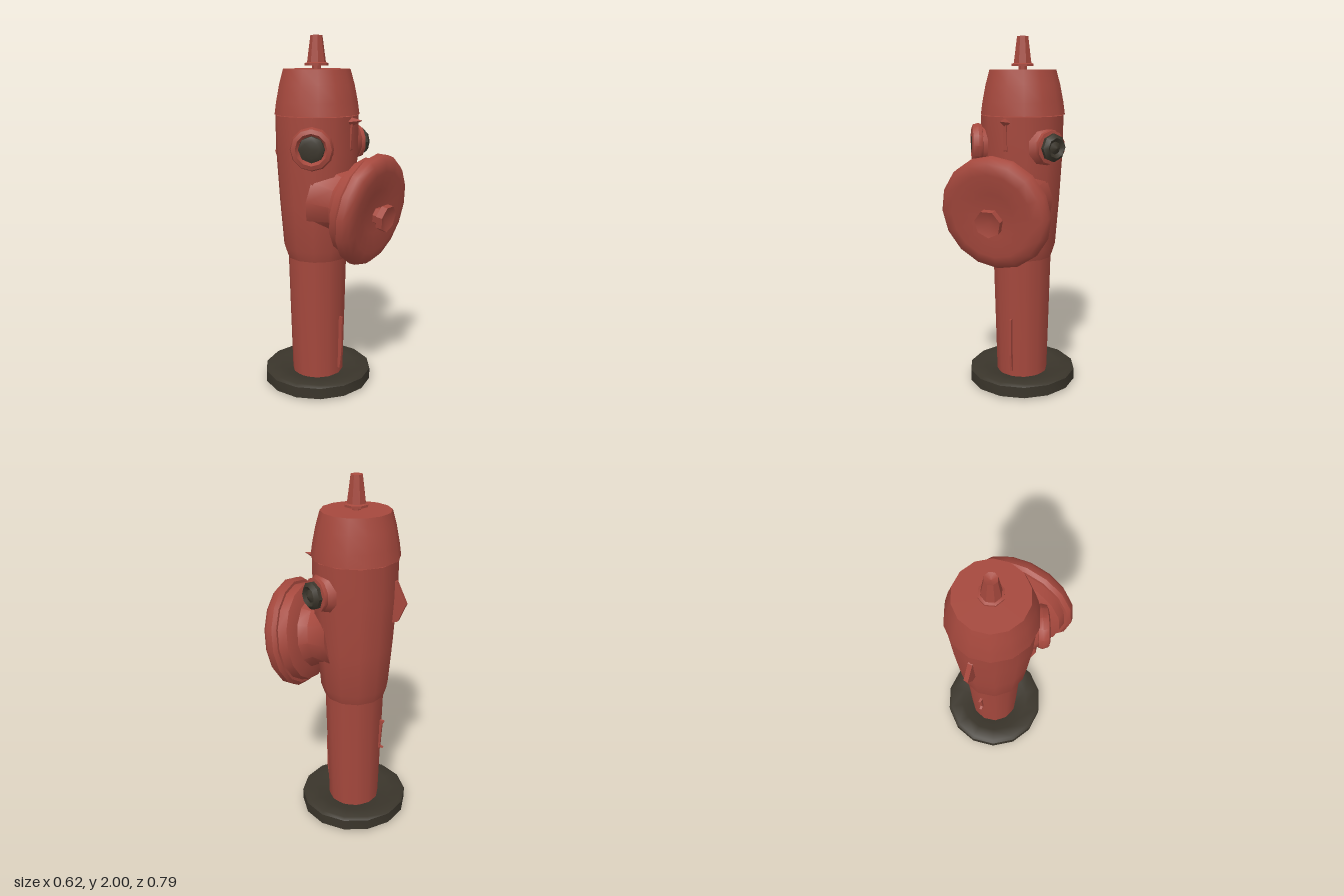
import * as THREE from 'three';
import { toCreasedNormals } from 'three/addons/utils/BufferGeometryUtils.js';

const red = new THREE.MeshStandardMaterial({ color: 0xa5483d });
red.name = 'faded red';
const dark = new THREE.MeshStandardMaterial({ color: 0x3a352b });
dark.name = 'dark iron';

// Turned part from [radius, height] pairs, listed from the bottom up.
function turned(name, points, sides, material) {
  const profile = points.map(([r, y]) => new THREE.Vector2(r, y));
  const geometry = toCreasedNormals(new THREE.LatheGeometry(profile, sides), 0.75);
  const mesh = new THREE.Mesh(geometry, material);
  mesh.name = name;
  return mesh;
}

// Thin plate on the centre plane from [z, y] corners.
function fin(name, corners, width, x = 0) {
  const shape = new THREE.Shape(corners.map(([z, y]) => new THREE.Vector2(z, y)));
  const geometry = new THREE.ExtrudeGeometry(shape, { depth: width, bevelEnabled: false });
  geometry.translate(0, 0, -width / 2).rotateY(-Math.PI / 2);
  const mesh = new THREE.Mesh(geometry, red);
  mesh.name = name;
  mesh.position.x = x;
  return mesh;
}

export function createModel() {
  const model = new THREE.Group();
  model.name = 'fireHydrant';

  // Upright barrel, all turned about one axis
  const barrel = new THREE.Group();
  barrel.name = 'barrel';
  barrel.position.z = -0.08;
  barrel.add(
    turned('baseFlange', [[0.13, 0.03], [0.17, 0], [0.29, 0], [0.313, 0.012], [0.313, 0.075],
      [0.295, 0.088], [0.22, 0.085], [0.14, 0.06]], 14, dark),
    turned('lowerPost', [[0, 0.03], [0.148, 0.03], [0.15, 0.1], [0.168, 0.8], [0, 0.8]], 12, red),
    turned('upperBody', [[0, 0.77], [0.172, 0.77], [0.192, 0.83], [0.212, 1.08], [0.23, 1.38],
      [0.232, 1.575], [0, 1.575]], 12, red),
    turned('cap', [[0, 1.58], [0.238, 1.58], [0.228, 1.65], [0.21, 1.74], [0.187, 1.822], [0, 1.822]], 14, red),
    turned('finialNeck', [[0.025, 1.815], [0.025, 1.85]], 8, red),
    turned('finial', [[0, 1.84], [0.065, 1.84], [0.065, 1.852], [0.052, 1.857], [0.033, 2], [0, 1.985]], 8, red),
  );
  model.add(barrel);

  // Large front outlet, tipped slightly downward
  const outlet = new THREE.Group();
  outlet.name = 'frontOutlet';
  outlet.position.set(0, 1.08, 0.28);
  outlet.rotation.x = Math.PI / 2 + 0.16;
  const nut = turned('outletNut', [[0.045, 0.02], [0.05, 0.075], [0.075, 0.075], [0.075, 0.112], [0, 0.085]], 7, red);
  nut.position.set(0.005, 0, 0.02);
  outlet.add(
    turned('outletNeck', [[0, -0.28], [0.22, -0.28], [0.18, -0.16], [0.21, -0.09]], 12, red),
    turned('outletCollar', [[0, -0.11], [0.22, -0.11], [0.272, -0.085], [0.28, -0.03], [0.25, -0.01]], 16, red),
    turned('outletLid', [[0.25, -0.035], [0.295, -0.035], [0.312, -0.015], [0.308, 0.02], [0.285, 0.045],
      [0.23, 0.056], [0.12, 0.036], [0, 0.036]], 16, red),
    nut,
  );
  model.add(outlet);

  // Two side nozzles, angled toward the front
  const nozzle = (name, side, parts) => {
    const aim = new THREE.Group();
    aim.name = name;
    aim.position.set(0, 1.415, -0.08);
    aim.rotation.y = side * Math.PI / 3;
    for (const part of parts) {
      part.rotation.x = Math.PI / 2;
      aim.add(part);
    }
    model.add(aim);
  };
  nozzle('leftNozzle', 1, [
    turned('leftNozzleNeck', [[0.13, 0.17], [0.1, 0.225], [0.08, 0.25]], 10, red),
    turned('leftNozzleCollar', [[0.07, 0.238], [0.092, 0.24], [0.092, 0.262], [0.06, 0.268]], 10, red),
    turned('leftNozzlePlug', [[0.074, 0.25], [0.076, 0.285], [0.055, 0.305], [0.035, 0.29], [0, 0.31]], 8, dark),
  ]);
  nozzle('rightNozzle', -1, [
    turned('rightNozzleNeck', [[0.13, 0.17], [0.095, 0.24]], 10, red),
    turned('rightNozzleRing', [[0.08, 0.222], [0.108, 0.228], [0.117, 0.25], [0.108, 0.28],
      [0.085, 0.288], [0.07, 0.265]], 12, red),
    turned('rightNozzlePlug', [[0.075, 0.25], [0.07, 0.278], [0.045, 0.288], [0, 0.28]], 8, dark),
  ]);

  // Pointed brow under the front of the cap and a ridge running down from it
  const brow = new THREE.Mesh(new THREE.ConeGeometry(0.035, 0.1, 4).toNonIndexed(), red);
  brow.geometry.computeVertexNormals();
  brow.name = 'browSpike';
  brow.rotation.x = Math.PI / 2 - 0.15;
  brow.position.set(0, 1.55, 0.17);
  model.add(brow, fin('frontRidge', [[0.1, 1.3], [0.152, 1.4], [0.163, 1.54], [0.1, 1.56]], 0.02));

  // Rear lug and weld remnants on the post
  model.add(
    fin('rearLug', [[-0.25, 1.5], [-0.315, 1.47], [-0.372, 1.35], [-0.33, 1.25], [-0.25, 1.22]], 0.025),
    fin('rearSeam', [[-0.2, 0.62], [-0.268, 0.61], [-0.255, 0.58], [-0.246, 0.44], [-0.265, 0.43], [-0.2, 0.42]], 0.015),
    fin('frontSeam', [[0.02, 0.1], [0.082, 0.1], [0.094, 0.2], [0.098, 0.42], [0.02, 0.42]], 0.012),
  );
  return model;
}
